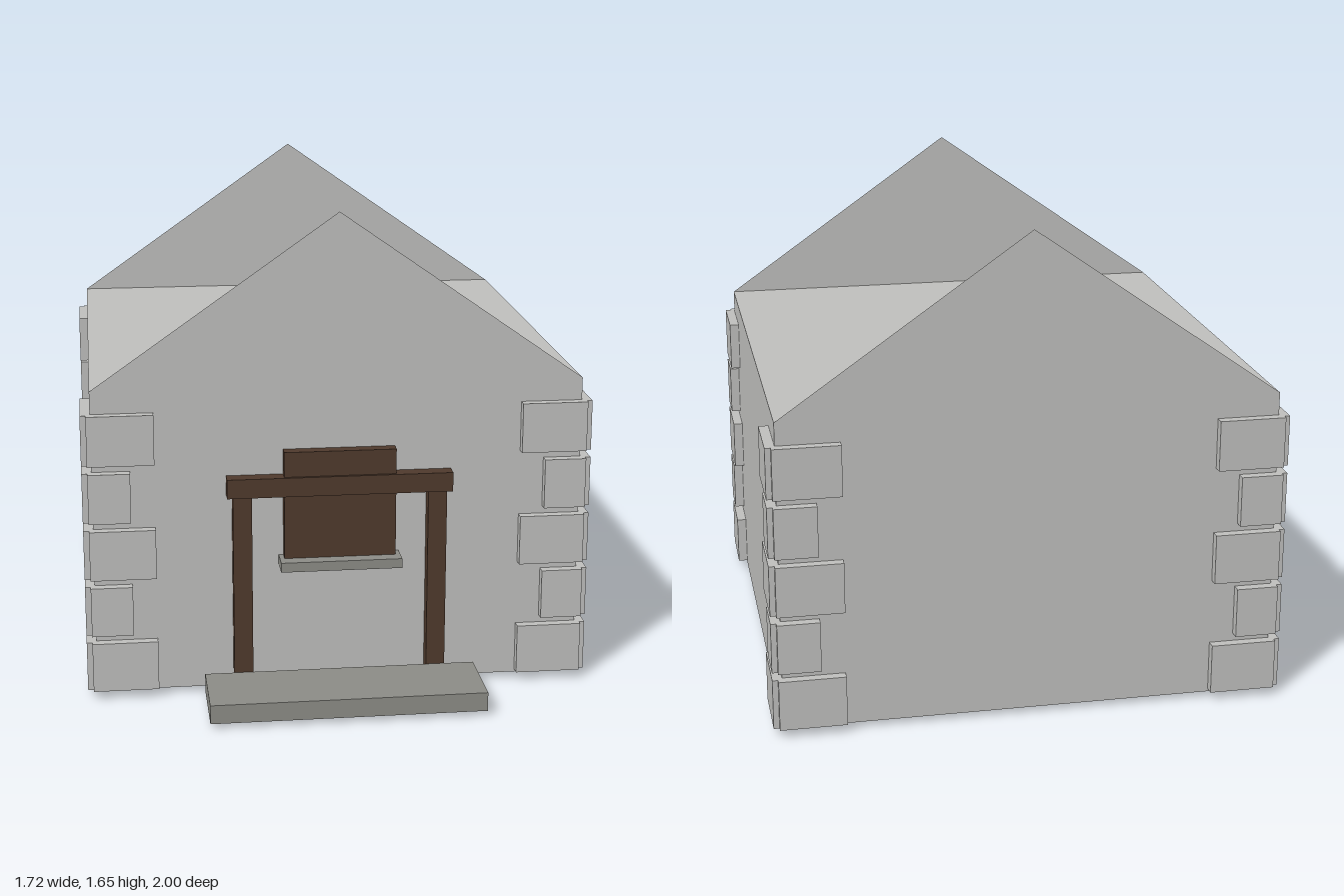
import * as THREE from 'three';

const mat = (name, color, side = THREE.FrontSide) => {
  const m = new THREE.MeshStandardMaterial({ color, side });
  m.name = name;
  return m;
};

export function createModel() {
  const house = new THREE.Group();
  house.name = 'house';
  const plaster = mat('pale stone', 0xbdbdbb, THREE.DoubleSide);
  const step = mat('grey stone', 0x8b8b85);
  const wood = mat('dark wood', 0x4e392c);

  // Box given by its low and high limits on each axis
  const box = (name, material, [x0, x1], [y0, y1], [z0, z1], parent = house) => {
    const mesh = new THREE.Mesh(new THREE.BoxGeometry(x1 - x0, y1 - y0, z1 - z0), material);
    mesh.position.set((x0 + x1) / 2, (y0 + y1) / 2, (z0 + z1) / 2);
    mesh.name = name;
    parent.add(mesh);
    return mesh;
  };

  // Walls with a flat top
  const W = 0.827, EAVE = 1.075, RIDGE = 1.655, BACK = -0.967, FRONT = 0.687;
  box('walls', plaster, [-W, W], [0.02, EAVE], [BACK, FRONT]);

  // Free-standing gable sheets at the front and back
  const triangle = new THREE.Shape([
    new THREE.Vector2(-W, EAVE), new THREE.Vector2(W, EAVE), new THREE.Vector2(0, RIDGE),
  ]);
  for (const [name, z, turn] of [['frontGable', FRONT, 0], ['backGable', BACK, Math.PI]]) {
    const gable = new THREE.Mesh(new THREE.ShapeGeometry(triangle), plaster);
    gable.position.z = z;
    gable.rotation.y = turn;
    gable.name = name;
    house.add(gable);
  }

  // Corner stones: alternating long and short, one on each face of a corner
  const span = (a, b) => [Math.min(a, b), Math.max(a, b)];
  for (const sx of [-1, 1]) {
    for (const [sz, wallZ] of [[1, FRONT], [-1, BACK]]) {
      const corner = new THREE.Group();
      corner.name = (sz > 0 ? 'front' : 'back') + (sx > 0 ? 'Left' : 'Right') + 'CornerStones';
      house.add(corner);
      for (let i = 0; i < 5; i++) {
        const y = [0.03 + i * 0.199, 0.202 + i * 0.199];
        const reach = i % 2 ? 0.127 : 0.208;
        box('endStone', plaster, span(sx * (W - reach), sx * (W + 0.014)), y,
          span(wallZ - sz * 0.02, wallZ + sz * 0.033), corner);
        box('sideStone', plaster, span(sx * (W - 0.02), sx * (W + 0.033)), y,
          span(wallZ - sz * reach, wallZ + sz * 0.016), corner);
      }
    }
  }

  // Door frame
  for (const s of [-1, 1]) {
    box(s > 0 ? 'leftPost' : 'rightPost', wood, span(s * 0.298, s * 0.362), [0, 0.71], [FRONT, 0.733]);
  }
  box('lintel', wood, [-0.381, 0.381], [0.706, 0.772], [FRONT, 0.739]);

  // Shutter panel with its sill
  box('shutter', wood, [-0.189, 0.189], [0.486, 0.858], [FRONT, 0.729]);
  box('sill', step, [-0.205, 0.205], [0.453, 0.486], [FRONT, 0.775]);

  // Door step
  box('doorStep', step, [-0.463, 0.463], [0.018, 0.083], [0.734, 1]);

  return house;
}
